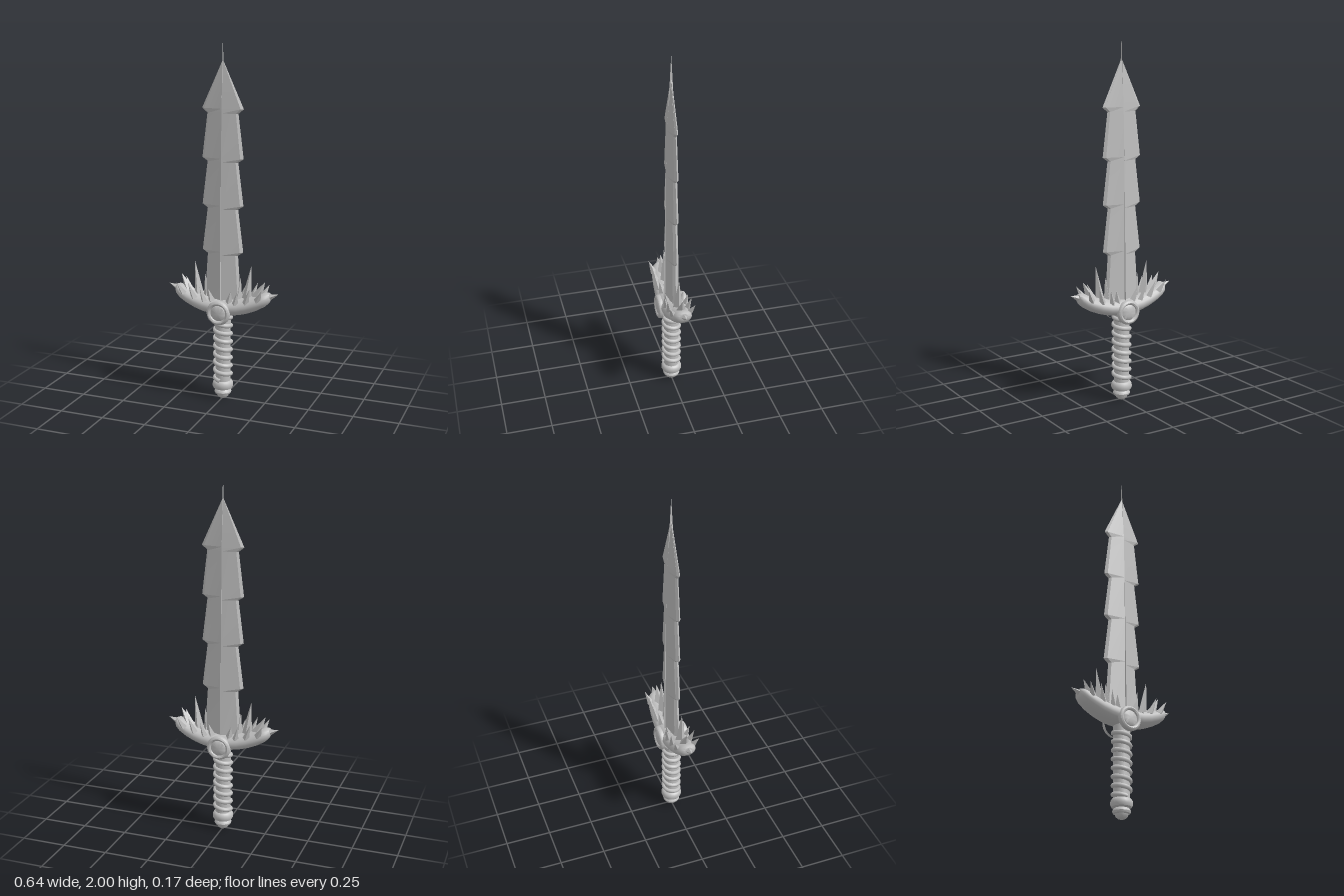
import * as THREE from 'three';
import { toCreasedNormals } from 'three/addons/utils/BufferGeometryUtils.js';

const steel = new THREE.MeshStandardMaterial({ color: 0xc0c0c0 });
steel.name = 'steel';

// Skin over a row of equal-sized rings, closed by a fan at each end
function loft(rings, crease) {
  const n = rings[0].length, pos = [], idx = [];
  rings.forEach(r => r.forEach(p => pos.push(...p)));
  for (let i = 0; i < rings.length - 1; i++) {
    for (let j = 0; j < n; j++) {
      const a = i * n + j, b = i * n + (j + 1) % n;
      idx.push(a, b, b + n, a, b + n, a + n);
    }
  }
  const last = (rings.length - 1) * n;
  for (let j = 1; j < n - 1; j++) {
    idx.push(0, j + 1, j, last, last + j, last + j + 1);
  }
  const g = new THREE.BufferGeometry();
  g.setAttribute('position', new THREE.Float32BufferAttribute(pos, 3));
  g.setIndex(idx);
  return toCreasedNormals(g, crease);
}

function add(parent, name, geometry) {
  const m = new THREE.Mesh(geometry, steel);
  m.name = name;
  parent.add(m);
  return m;
}

// Four-sided spike from a base point to a tip
function spike(parent, base, tip, radius) {
  const a = new THREE.Vector3(...base), b = new THREE.Vector3(...tip);
  const dir = b.clone().sub(a), len = dir.length();
  const g = new THREE.ConeGeometry(radius, len, 4).translate(0, len / 2, 0);
  const m = add(parent, 'guardSpike', toCreasedNormals(g, 0.3));
  m.position.copy(a);
  m.quaternion.setFromUnitVectors(new THREE.Vector3(0, 1, 0), dir.normalize());
}

function createModel() {
  const model = new THREE.Group();
  model.name = 'sword';

  // Barbed blade: height, half width, half depth
  const profile = [
    [0.55, 0.108, 0.036],
    [0.83, 0.088, 0.033], [0.85, 0.118, 0.033],
    [1.085, 0.088, 0.031], [1.105, 0.118, 0.031],
    [1.34, 0.088, 0.028], [1.36, 0.118, 0.028],
    [1.60, 0.088, 0.022], [1.625, 0.118, 0.022],
    [1.878, 0.001, 0.003],
  ];
  add(model, 'blade', loft(profile.map(([y, w, d]) => {
    const u = w * 0.87, e = d * 0.42;
    return [[w, y, 0], [u, y, -e], [0, y, -d], [-u, y, -e],
      [-w, y, 0], [-u, y, e], [0, y, d], [u, y, e]];
  }), 0.1));

  // Thin ridge along the blade, running out into a needle tip
  const ridge = [[0.55, 0.008, 0.045], [0.64, 0.008, 0.043], [1.36, 0.006, 0.029],
    [1.75, 0.003, 0.014], [2, 0.0003, 0.0005]];
  add(model, 'bladeRidge', loft(ridge.map(([y, w, d]) =>
    [[w, y, 0], [0, y, -d], [-w, y, 0], [0, y, d]]), 0.1));

  // Crescent guard: x, centre height, half height, half depth
  const half = [[0, 0.537, 0.047, 0.076], [0.05, 0.538, 0.047, 0.075],
    [0.1, 0.545, 0.046, 0.072], [0.15, 0.558, 0.044, 0.067],
    [0.2, 0.577, 0.041, 0.061], [0.24, 0.597, 0.037, 0.053],
    [0.262, 0.61, 0.03, 0.042], [0.274, 0.618, 0.018, 0.025]];
  const sections = [...half.slice(1).reverse().map(([x, ...r]) => [-x, ...r]), ...half];
  add(model, 'guard', loft(sections.map(([x, y, h, d]) =>
    Array.from({ length: 20 }, (_, i) => {
      const a = i / 20 * Math.PI * 2;
      // the section leans with the curve of the crescent
      return [x - Math.sign(x) * h * Math.cos(a) * Math.abs(x) * 0.6,
        y + h * Math.cos(a), d * Math.sin(a)];
    })), 0.9));

  // Guard spikes, mirrored left and right
  const spikes = new THREE.Group();
  spikes.name = 'guardSpikes';
  model.add(spikes);
  for (const s of [-1, 1]) {
    spike(spikes, [s * 0.255, 0.61, 0], [s * 0.32, 0.635, 0], 0.024);
    spike(spikes, [s * 0.195, 0.6, 0], [s * 0.245, 0.7, 0], 0.032);
    spike(spikes, [s * 0.138, 0.58, 0], [s * 0.165, 0.78, 0], 0.03);
    spike(spikes, [s * 0.09, 0.57, 0], [s * 0.105, 0.71, 0], 0.024);
    for (const f of [-1, 1]) {
      spike(spikes, [s * 0.215, 0.6, f * 0.045], [s * 0.247, 0.665, f * 0.07], 0.02);
      spike(spikes, [s * 0.15, 0.58, f * 0.048], [s * 0.18, 0.67, f * 0.068], 0.02);
      spike(spikes, [s * 0.09, 0.57, f * 0.052], [s * 0.11, 0.65, f * 0.068], 0.018);
      spike(spikes, [s * 0.05, 0.57, f * 0.038], [s * 0.065, 0.64, f * 0.052], 0.022);
    }
  }

  // Round medallion on the front and back of the guard
  const disc = [[0.066, 0], [0.068, 0.012], [0.064, 0.022], [0.055, 0.027],
    [0.047, 0.024], [0.043, 0.017], [0.039, 0.021], [0.022, 0.026], [0, 0.027]]
    .map(p => new THREE.Vector2(...p));
  for (const f of [1, -1]) {
    const m = add(model, 'medallion', toCreasedNormals(new THREE.LatheGeometry(disc, 28), 0.7));
    m.position.set(0, 0.515, f * 0.06);
    m.rotation.x = f * Math.PI / 2;
  }

  // Grip with a spiral cord
  const grip = new THREE.CylinderGeometry(0.044, 0.042, 0.44, 24);
  add(model, 'grip', grip).position.y = 0.29;
  const turns = 8, path = [];
  for (let i = 0; i <= turns * 16; i++) {
    const a = i / 16 * Math.PI * 2;
    path.push(new THREE.Vector3(0.044 * Math.sin(a), 0.485 - 0.375 * i / (turns * 16),
      0.044 * Math.cos(a)));
  }
  add(model, 'gripCord',
    new THREE.TubeGeometry(new THREE.CatmullRomCurve3(path), turns * 24, 0.0125, 8));

  // Stepped pommel with a rounded foot
  const pommel = [[0, 0], [0.02, 0.002], [0.031, 0.012], [0.035, 0.024], [0.044, 0.028],
    [0.048, 0.038], [0.044, 0.049], [0.038, 0.054], [0.052, 0.06], [0.058, 0.073],
    [0.057, 0.09], [0.05, 0.102], [0.04, 0.106]].map(p => new THREE.Vector2(...p));
  add(model, 'pommel', toCreasedNormals(new THREE.LatheGeometry(pommel, 24), 0.7));

  return model;
}

export { createModel };
